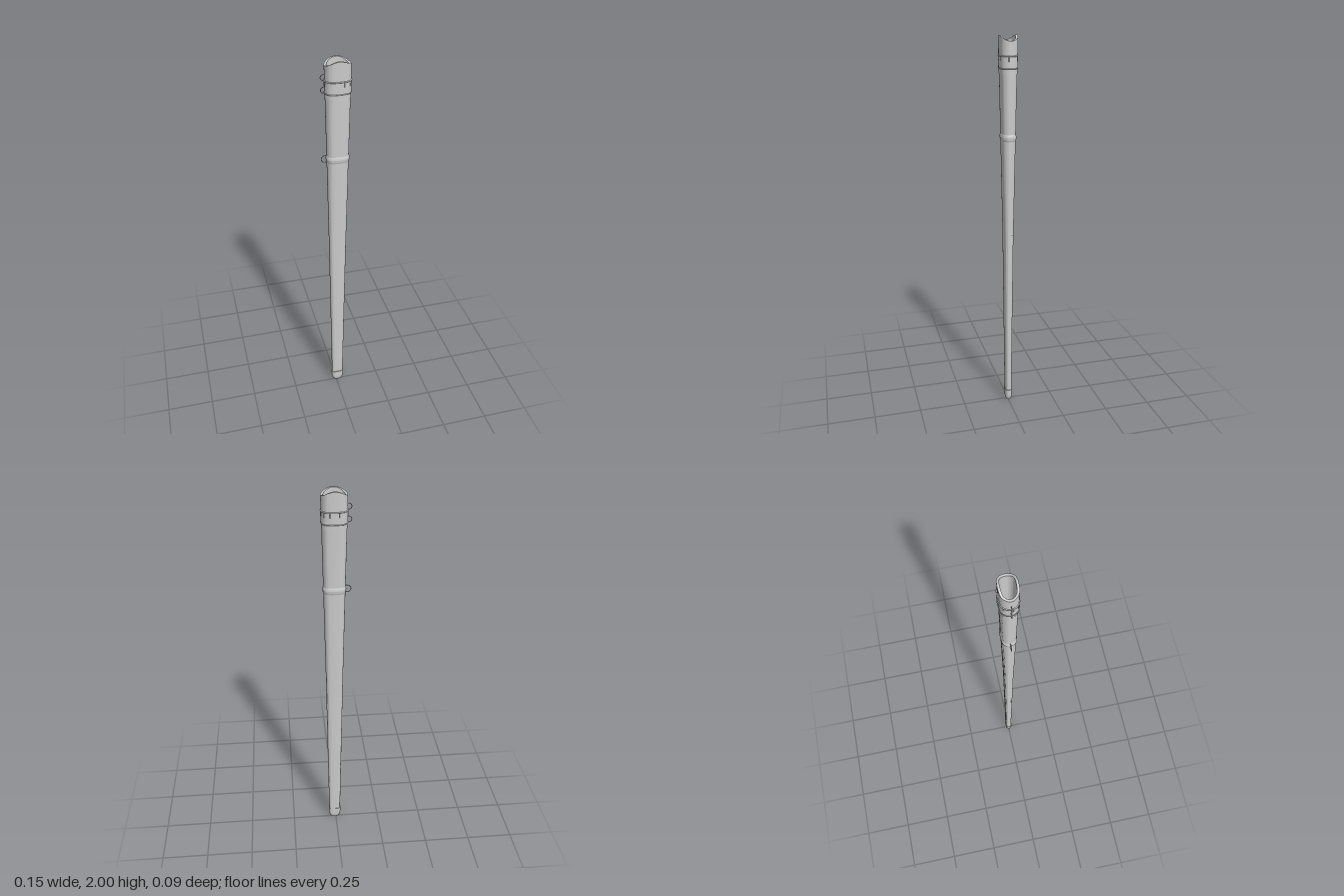
import * as THREE from 'three';
import { toCreasedNormals } from 'three/addons/utils/BufferGeometryUtils.js';

const CX = 0.007; // body axis, offset by the carrying rings on the right
const SEG = 48;
const grey = new THREE.MeshStandardMaterial({ color: 0xcccccc });

// Point on a stadium outline: straight front and back, round ends
function stadium(t, hx, hz) {
  const a = t * Math.PI * 2, c = Math.cos(a), s = Math.sin(a);
  const flat = Math.max(hx - hz, 0);
  const side = Math.max(-1, Math.min(1, c * 2.2));
  return [side * flat + c * Math.min(hx, hz), s * hz];
}

// Loft through rows of [y, halfWidth, halfDepth, arch]
function loft(name, rows, crease = 0.6) {
  const pos = [], idx = [];
  for (const [y, hx, hz, arch = 0] of rows) {
    for (let j = 0; j < SEG; j++) {
      const [x, z] = stadium(j / SEG, hx, hz);
      const drop = hx > 0 ? arch * (x / hx) ** 2 : 0;
      pos.push(CX + x, y - drop, z);
    }
  }
  for (let i = 0; i < rows.length - 1; i++) {
    for (let j = 0; j < SEG; j++) {
      const k = (j + 1) % SEG;
      const a = i * SEG + j, b = i * SEG + k, c = a + SEG, d = b + SEG;
      idx.push(a, c, b, b, c, d);
    }
  }
  const geo = new THREE.BufferGeometry();
  geo.setAttribute('position', new THREE.Float32BufferAttribute(pos, 3));
  geo.setIndex(idx);
  const mesh = new THREE.Mesh(toCreasedNormals(geo, crease), grey);
  mesh.name = name;
  return mesh;
}

// Half width and half depth of the body at a height
const sizes = [[0, 0.031, 0.015], [0.2, 0.034, 0.0165], [1, 0.045, 0.024], [1.5, 0.054, 0.034], [1.82, 0.06, 0.04], [2, 0.062, 0.043]];
function sizeAt(y) {
  let i = 0;
  while (i < sizes.length - 2 && y > sizes[i + 1][0]) i++;
  const [a, b] = [sizes[i], sizes[i + 1]], t = (y - a[0]) / (b[0] - a[0]);
  return [THREE.MathUtils.lerp(a[1], b[1], t), THREE.MathUtils.lerp(a[2], b[2], t)];
}
function row(y, grow = 0, arch = 0) {
  const [hx, hz] = sizeAt(y);
  return [y, hx + grow, hz + grow, arch];
}

// Collar around the body with a rounded or square profile
function collar(name, y, height, grow, rounded) {
  const rows = [row(y - height / 2, -0.001)];
  const n = rounded ? 8 : 1;
  for (let i = 0; i <= n; i++) {
    const t = i / n;
    rows.push(row(y + (t - 0.5) * height, rounded ? grow * Math.sin(Math.PI * t) : grow));
  }
  rows.push(row(y + height / 2, -0.001));
  return loft(name, rows);
}

export function createModel() {
  const model = new THREE.Group();
  model.name = 'scabbard';

  // Long tapered sheath
  const body = [0.05, 0.2, 0.4, 0.6, 0.8, 1, 1.15, 1.3, 1.5, 1.66, 1.83].map((y) => row(y));
  model.add(loft('sheath', body));

  // Hollow mouth piece with arched rim and inner lining
  const arch = 0.025;
  model.add(loft('mouthPiece', [
    row(1.82, -0.001), row(1.82, 0.0015), row(1.91, 0.0015), row(2, 0.001, arch),
    row(2, -0.01, arch), row(1.82, -0.011), row(1.5, -0.01), row(1, -0.008),
    row(0.2, -0.005), row(0.06, -0.005), [0.06, 0, 0],
  ]));

  // Rounded tip cap
  const tip = [[0, 0, 0], [0, 0.008, 0.004]];
  for (let i = 1; i <= 8; i++) {
    const a = (i / 8) * Math.PI / 2;
    tip.push([0.045 * (1 - Math.cos(a)), 0.008 + 0.026 * Math.sin(a), 0.004 + 0.0145 * Math.sin(a)]);
  }
  tip.push([0.072, 0.035, 0.0185], [0.072, 0.03, 0.014]);
  model.add(loft('tipCap', tip));

  // Upper band with a bead on each edge, and the lower hanger band
  model.add(collar('upperBand', 1.875, 0.06, 0.003, false));
  for (const y of [1.847, 1.905]) model.add(collar('bandBead', y, 0.007, 0.0055, true));
  model.add(collar('hangerBand', 1.51, 0.035, 0.004, true));

  // Small ribs around the upper band
  const ribs = new THREE.Group();
  ribs.name = 'bandRibs';
  const [rx, rz] = sizeAt(1.89);
  for (let i = 0; i < 12; i++) {
    const [x, z] = stadium((i + 0.5) / 12, rx + 0.003, rz + 0.003);
    const rib = new THREE.Mesh(new THREE.CylinderGeometry(0.0015, 0.0015, 0.022, 8), grey);
    rib.position.set(CX + x, 1.892, z);
    ribs.add(rib);
  }
  model.add(ribs);

  // Carrying rings on the right edge
  for (const [y, r] of [[1.92, 0.014], [1.86, 0.014], [1.51, 0.018]]) {
    const ring = new THREE.Mesh(new THREE.TorusGeometry(r, 0.002, 8, 28), grey);
    ring.name = 'carryingRing';
    ring.position.set(-0.074 + r, y, 0);
    model.add(ring);
  }
  return model;
}
